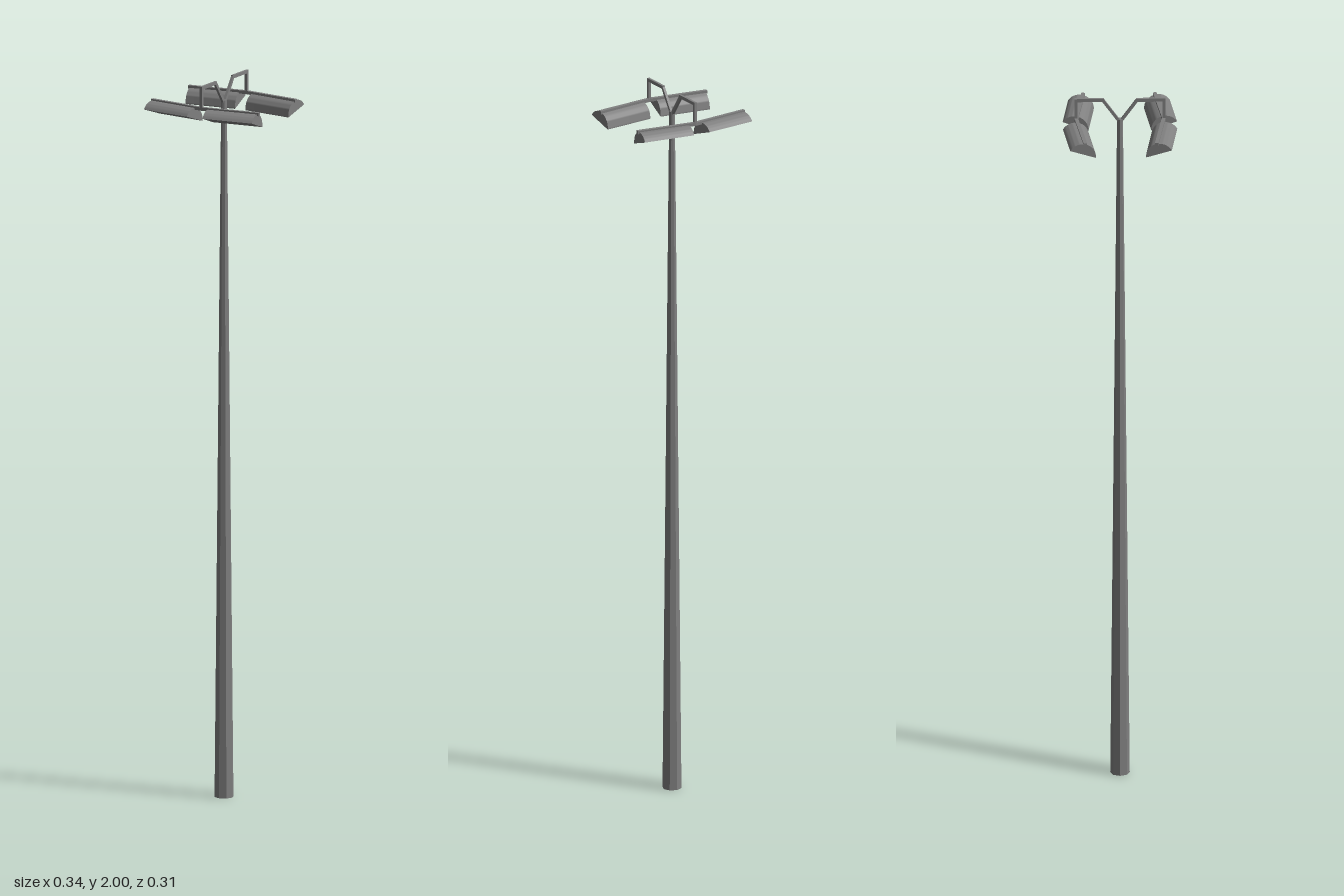
import * as THREE from 'three';
import { toCreasedNormals } from 'three/addons/utils/BufferGeometryUtils.js';

export function createModel() {
  const model = new THREE.Group();
  const metal = new THREE.MeshStandardMaterial({ color: 0x808080, flatShading: true });
  metal.name = 'greyMetal';
  const smoothMetal = new THREE.MeshStandardMaterial({ color: 0x808080 });
  smoothMetal.name = 'greyMetalSmooth';

  // Rectangular bar between two points (w sideways, h upright)
  function beam(parent, name, a, b, w, h) {
    const from = new THREE.Vector3(...a), to = new THREE.Vector3(...b);
    const mesh = new THREE.Mesh(new THREE.BoxGeometry(w, h, from.distanceTo(to)), metal);
    mesh.name = name;
    mesh.position.copy(from).add(to).multiplyScalar(0.5);
    mesh.lookAt(to);
    parent.add(mesh);
  }

  // Tapered eight-sided pole
  const pole = new THREE.Mesh(new THREE.CylinderGeometry(0.008, 0.0265, 1.94, 8), metal);
  pole.name = 'pole';
  pole.position.y = 0.97;
  model.add(pole);

  // Arched floodlight housing with a flat underside, running along x
  const halfWidth = 0.037, rise = 0.03, length = 0.147;
  const radius = (halfWidth ** 2 + rise ** 2) / (2 * rise);
  const start = Math.asin((radius - rise) / radius);
  const profile = new THREE.Shape();
  profile.absarc(0, rise - radius, radius, start, Math.PI - start, false);
  profile.closePath();
  let housing = new THREE.ExtrudeGeometry(profile, { depth: length, bevelEnabled: false, curveSegments: 12 });
  housing.translate(0, 0, -length / 2);
  housing.rotateY(Math.PI / 2);
  housing.rotateX(-0.33);
  housing = toCreasedNormals(housing, 0.5);

  // One arm with two lamps, repeated front and back
  for (const [side, turn] of [['front', 0], ['back', Math.PI]]) {
    const arm = new THREE.Group();
    arm.name = side + 'Arm';
    arm.rotation.y = turn;
    beam(arm, 'slantedBrace', [0, 1.93, 0], [0, 1.996, 0.047], 0.007, 0.008);
    beam(arm, 'topBar', [0, 1.9955, 0.043], [0, 1.9955, 0.123], 0.007, 0.009);
    const post = new THREE.Mesh(new THREE.BoxGeometry(0.007, 0.064, 0.008), metal);
    post.name = 'dropPost';
    post.position.set(0, 1.967, 0.119);
    arm.add(post);

    for (const s of [1, -1]) {
      beam(arm, 'lampBar', [0, 1.938, 0.119], [s * 0.17, 1.938, 0.097], 0.01, 0.009);
      const lamp = new THREE.Mesh(housing, smoothMetal);
      lamp.name = s > 0 ? 'leftLamp' : 'rightLamp';
      lamp.position.set(s * 0.0937, 1.908, 0.112);
      lamp.rotation.y = s * 0.118;
      arm.add(lamp);
    }
    model.add(arm);
  }
  return model;
}
